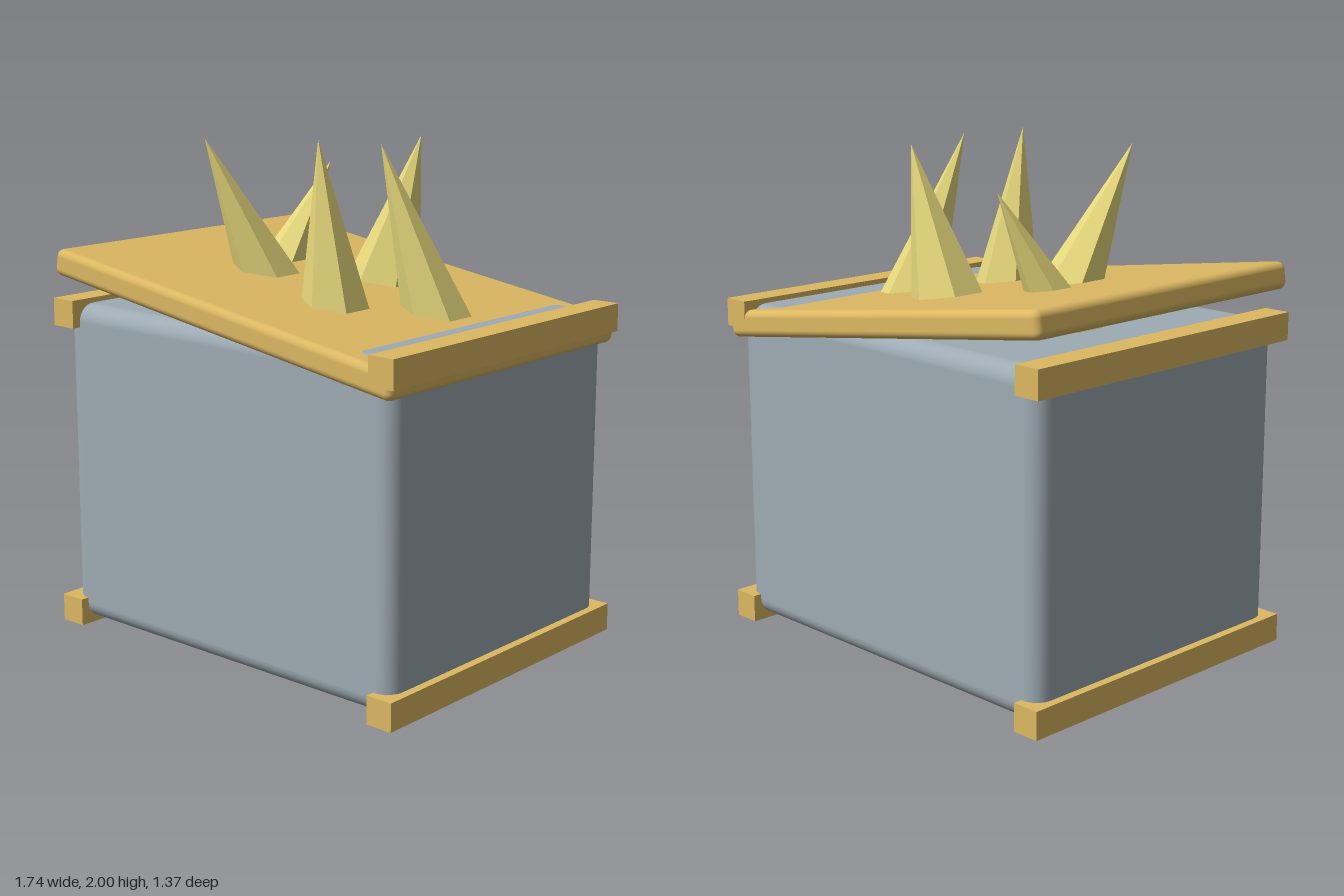
import * as THREE from 'three';
import { RoundedBoxGeometry } from 'three/addons/geometries/RoundedBoxGeometry.js';

export function createModel() {
  const model = new THREE.Group();
  model.name = 'spikedCrate';

  const grey = new THREE.MeshStandardMaterial({ color: 0x9eabb3 });
  const gold = new THREE.MeshStandardMaterial({ color: 0xdcb862 });
  const pale = new THREE.MeshStandardMaterial({ color: 0xe8da7d, flatShading: true });

  const add = (name, geometry, material, x, y, z) => {
    const mesh = new THREE.Mesh(geometry, material);
    mesh.name = name;
    mesh.position.set(x, y, z);
    model.add(mesh);
    return mesh;
  };

  // Soft-edged container
  add('body', new RoundedBoxGeometry(1.67, 1.3, 1.3, 4, 0.07), grey, 0, 0.67, 0);

  // Tilted lid, sunk into the body at its left end
  const lid = add('lid', new RoundedBoxGeometry(1.736, 0.107, 1.37, 4, 0.03), gold, 0, 1.36, 0);
  lid.rotation.z = -0.146;

  // Square rails along the four side edges
  for (const [side, x] of [['left', 0.813], ['right', -0.813]]) {
    for (const [level, y] of [['Bottom', 0.055], ['Top', 1.285]]) {
      add(side + level + 'Rail', new THREE.BoxGeometry(0.111, 0.11, 1.37), gold, x, y, 0);
    }
  }

  // Leaning six-sided spikes: tip, centre where it leaves the lid, radius there
  const baseY = 1.25;
  const spikes = [
    { tip: [-0.367, 1.975, 0.333], mid: [-0.263, 1.453, 0.11], r: 0.127 },
    { tip: [-0.295, 1.84, -0.317], mid: [-0.36, 1.468, -0.117], r: 0.097 },
    { tip: [0.17, 2.0, 0.28], mid: [0.2, 1.385, 0.223], r: 0.128 },
    { tip: [0.19, 1.975, -0.3], mid: [0.045, 1.408, -0.25], r: 0.147 },
    { tip: [0.317, 1.98, 0.097], mid: [0.455, 1.347, -0.063], r: 0.13 },
  ];
  for (const { tip, mid, r } of spikes) {
    const height = tip[1] - baseY;
    const k = height / (tip[1] - mid[1]);
    const dx = (tip[0] - mid[0]) * k, dz = (tip[2] - mid[2]) * k;
    const cone = new THREE.ConeGeometry(r * k, height, 6, 1);
    cone.translate(0, height / 2, 0);
    // Shear the cone so its point leans over
    cone.applyMatrix4(new THREE.Matrix4().set(
      1, dx / height, 0, 0,
      0, 1, 0, 0,
      0, dz / height, 1, 0,
      0, 0, 0, 1));
    add('spike', cone, pale, tip[0] - dx, baseY, tip[2] - dz);
  }

  return model;
}
